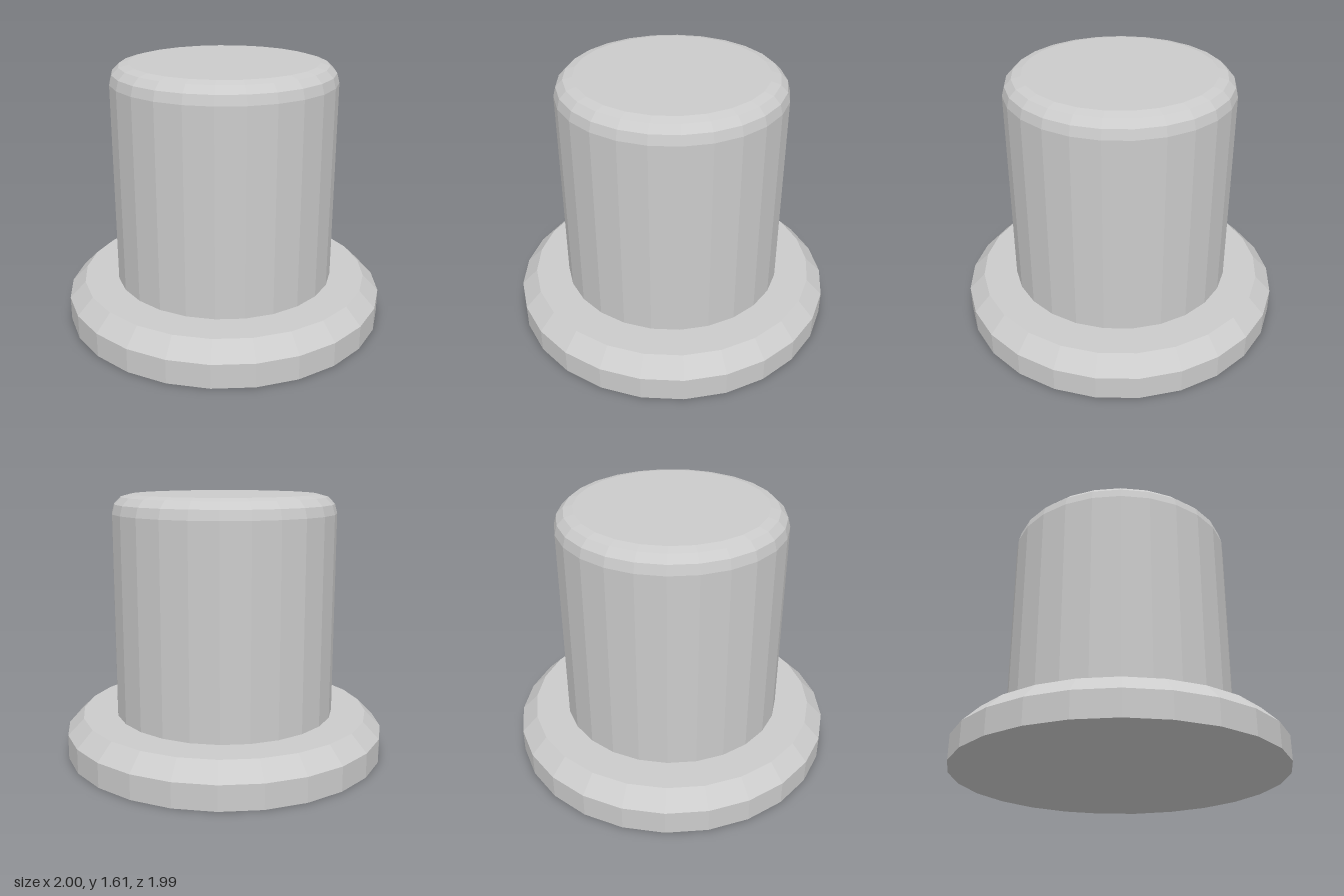
import * as THREE from 'three';

const SIDES = 25;

// Faceted solid of revolution with a corner pointing to the back
function turned(name, profile, material) {
  const points = profile.map(([r, y]) => new THREE.Vector2(r, y));
  const mesh = new THREE.Mesh(new THREE.LatheGeometry(points, SIDES, Math.PI), material);
  mesh.name = name;
  return mesh;
}

export function createModel() {
  const group = new THREE.Group();
  group.name = 'flangedPlug';
  const material = new THREE.MeshStandardMaterial({ color: 0xcccccc, flatShading: true });

  // Wide foot with a chamfered upper edge
  group.add(turned('baseFlange', [[0, 0], [1, 0], [1, 0.15], [0.9, 0.25], [0, 0.25]], material));

  // Upright body with a rounded top rim
  const radius = 0.688, top = 1.61, round = 0.115, steps = 3;
  const body = [[radius, 0.25]];
  for (let i = 0; i <= steps; i++) {
    const a = (i / steps) * Math.PI / 2;
    body.push([radius - round + round * Math.cos(a), top - round + round * Math.sin(a)]);
  }
  body.push([0, top]);
  group.add(turned('roundedBody', body, material));

  return group;
}
